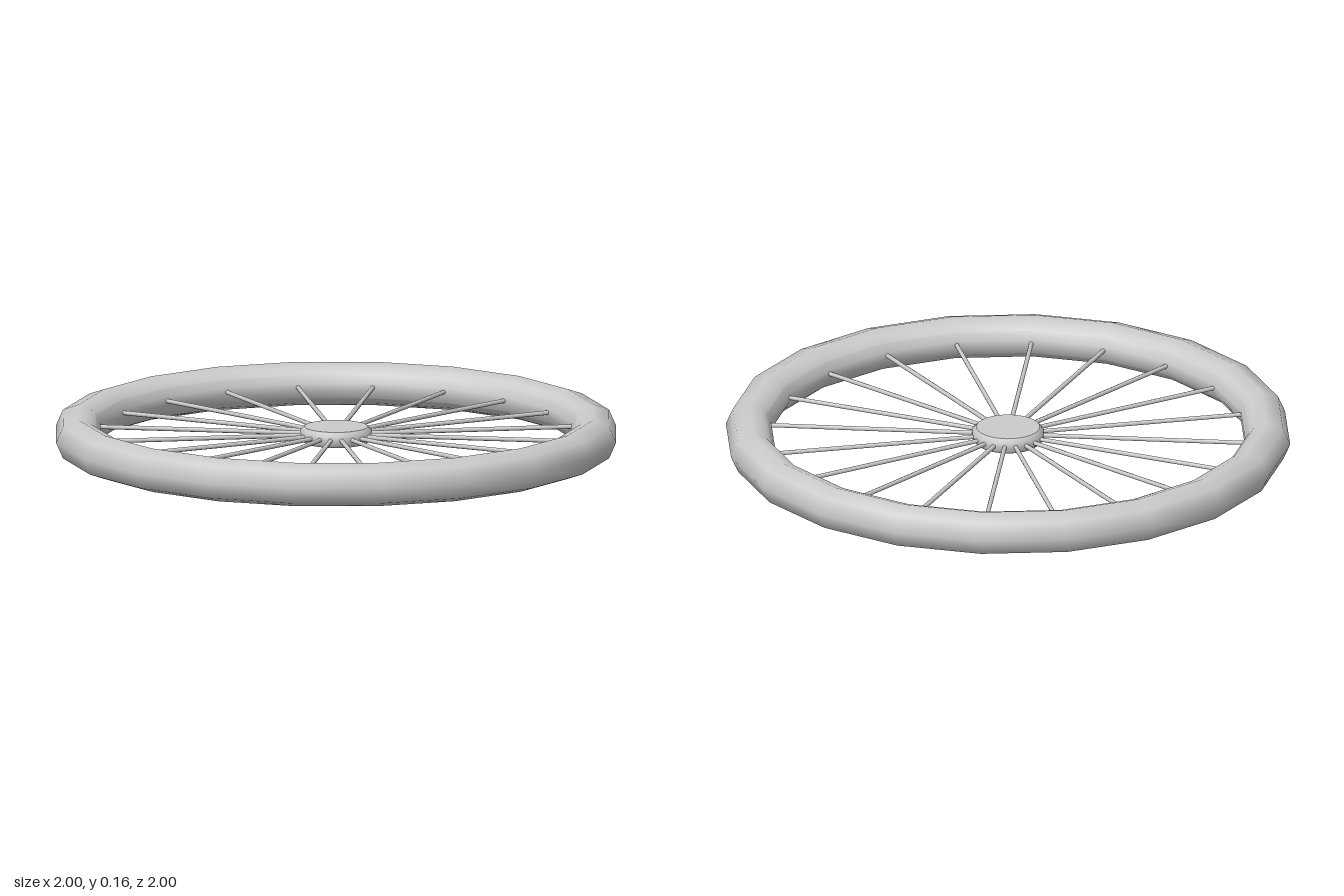
import * as THREE from 'three';

const SIDES = 20;
const MID = 0.078;

// Turned ring or disc around the wheel's vertical axis; profile runs upward on the outside
function turned(name, points, sides, flatShading = false) {
  const profile = points.map(([r, y]) => new THREE.Vector2(r, MID + y));
  const material = new THREE.MeshStandardMaterial({ color: 0xcccccc, side: THREE.DoubleSide, flatShading });
  const mesh = new THREE.Mesh(new THREE.LatheGeometry(profile, sides), material);
  mesh.name = name;
  return mesh;
}

export function createModel() {
  const wheel = new THREE.Group();
  wheel.name = 'wheel';

  // Rounded tyre, open towards the rim
  wheel.add(turned('tyre', [
    [0.856, -0.042], [0.873, -0.062], [0.917, -0.078], [0.975, -0.057], [1, 0],
    [0.975, 0.057], [0.917, 0.078], [0.873, 0.062], [0.856, 0.042],
  ], SIDES));

  // Inner rim with sloped shoulders
  wheel.add(turned('rim', [
    [0.856, 0.042], [0.84, 0.015], [0.84, -0.015], [0.856, -0.042],
  ], SIDES));

  // Hub: bevelled side and two flat caps
  wheel.add(turned('hubSide', [
    [0.112, -0.028], [0.127, -0.014], [0.127, 0.014], [0.112, 0.028],
  ], 32));
  wheel.add(turned('hubBottom', [[0, -0.028], [0.112, -0.028]], 32));
  wheel.add(turned('hubTop', [[0.112, 0.028], [0, 0.028]], 32));

  // Spokes, one to each corner of the rim
  const spokes = new THREE.Group();
  spokes.name = 'spokes';
  const inner = 0.11, outer = 0.845;
  const bar = new THREE.CylinderGeometry(0.008, 0.008, outer - inner, 8);
  bar.rotateZ(Math.PI / 2).translate((inner + outer) / 2, MID, 0);
  const material = new THREE.MeshStandardMaterial({ color: 0xcccccc });
  for (let i = 0; i < SIDES; i++) {
    const spoke = new THREE.Mesh(bar, material);
    spoke.name = 'spoke';
    spoke.rotation.y = (i / SIDES) * Math.PI * 2;
    spokes.add(spoke);
  }
  wheel.add(spokes);

  return wheel;
}
